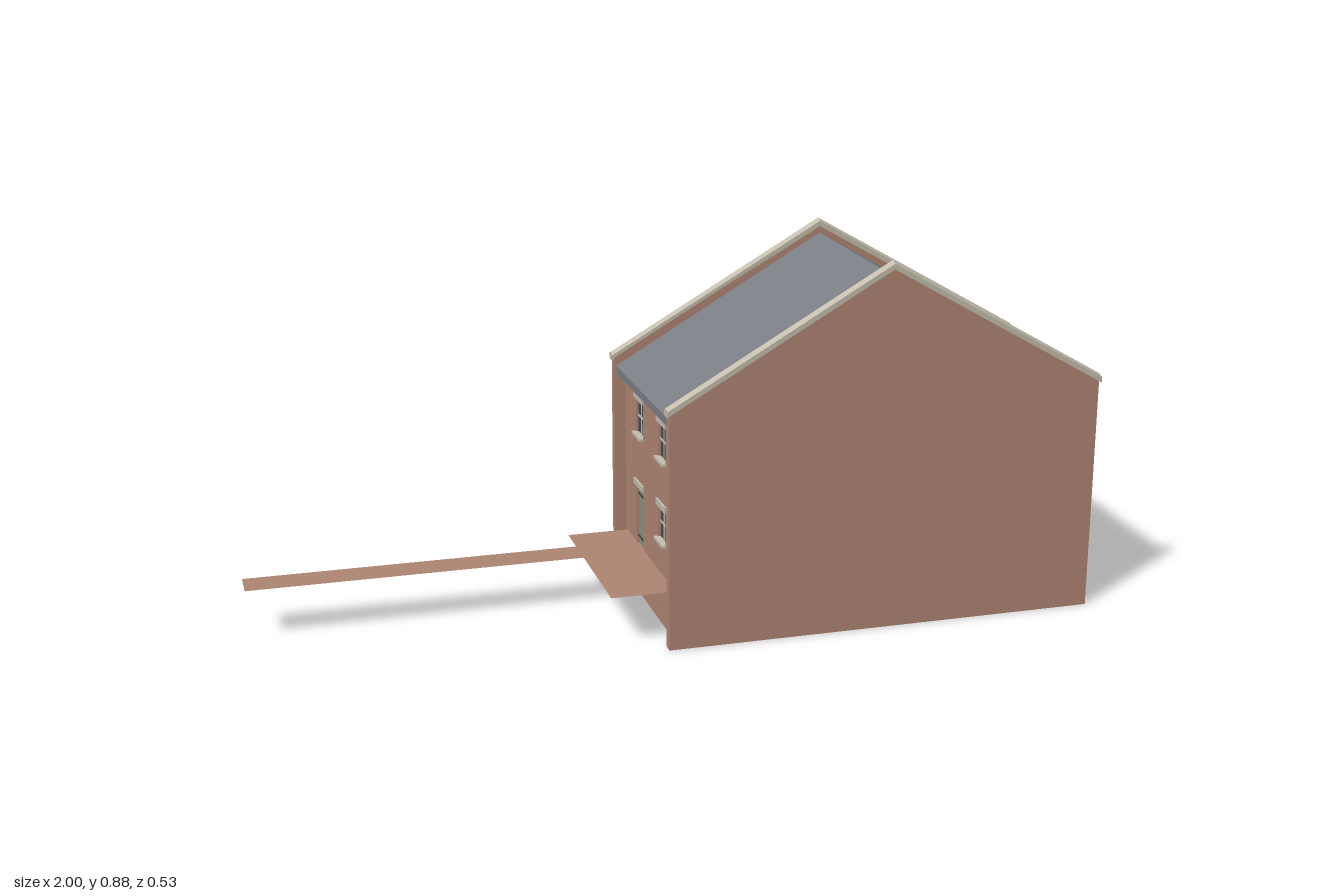
import * as THREE from 'three';

const material = (name, color) => Object.assign(new THREE.MeshStandardMaterial({ color }), { name });

export function createModel() {
  const brick = material('brick', 0xae8572);
  const paving = material('paving', 0xae8572);
  paving.side = THREE.DoubleSide;
  const slate = material('slate', 0x7b7e85);
  const stone = material('stone', 0xc4bdad);
  const green = material('greenPaint', 0x889282);
  const glass = material('glass', 0x424b52);
  const iron = material('iron', 0x40484e);

  const model = new THREE.Group();
  model.name = 'warehouse';
  const CX = 0.4475; // middle of the house along x

  const add = (parent, name, geometry, mat, x = 0, y = 0, z = 0) => {
    const mesh = new THREE.Mesh(geometry, mat);
    mesh.name = name;
    mesh.position.set(x, y, z);
    parent.add(mesh);
    return mesh;
  };
  const box = (parent, name, mat, w, h, d, x, y, z) =>
    add(parent, name, new THREE.BoxGeometry(w, h, d), mat, x, y, z);
  const polygon = (pts) => new THREE.Shape(pts.map(([x, y]) => new THREE.Vector2(x, y)));
  const extrude = (shape, depth) =>
    new THREE.ExtrudeGeometry(shape, { depth, bevelEnabled: false, curveSegments: 12 });

  // Opening outline: centre u, width w, from y0 to y1, with an optional arch
  const opening = (u, w, y0, y1, rise = 0) => {
    const s = new THREE.Shape();
    s.moveTo(u - w / 2, y0);
    s.lineTo(u + w / 2, y0);
    s.lineTo(u + w / 2, y1);
    if (rise) s.quadraticCurveTo(u, y1 + 2 * rise, u - w / 2, y1);
    else s.lineTo(u - w / 2, y1);
    s.closePath();
    return s;
  };

  // Facade, local +z is outward; openings are cut and filled with recessed panels
  const makeFacade = (name, items) => {
    const g = new THREE.Group();
    g.name = name;
    const wall = polygon([[-0.235, 0], [0.235, 0], [0.235, 0.54], [-0.235, 0.54]]);
    for (const it of items) {
      const { type, u, w, y0, y1, rise, hinges = [], leaves = 1 } = it;
      const outline = opening(u, w, y0, y1, rise);
      wall.holes.push(outline);
      const isWindow = type === 'window';
      add(g, type + 'Panel', extrude(outline, 0.01), isWindow ? glass : green, 0, 0, -0.016);
      const h = y1 - y0, yc = (y0 + y1) / 2;
      if (isWindow) {
        // glazing bars, then lintel and sill
        box(g, 'glazingBar', stone, 0.005, h, 0.014, u, yc, -0.011);
        box(g, 'glazingBar', stone, w, 0.005, 0.014, u, yc, -0.011);
        box(g, 'windowLintel', stone, w + 0.016, 0.015, 0.016, u, y1 + 0.008, -0.003);
        box(g, 'windowSill', stone, w + 0.012, 0.007, 0.02, u, y0 - 0.003, 0);
      } else {
        if (type === 'door') box(g, 'doorLintel', stone, w + 0.015, 0.014, 0.016, u, y1 + 0.006, -0.003);
        if (type === 'hatch') box(g, 'hatchSill', stone, w + 0.01, 0.006, 0.02, u, y0 - 0.003, 0);
        if (leaves === 2) box(g, 'leafSeam', iron, 0.003, h, 0.003, u, yc, -0.006);
        // strap hinges on the outer edge of each leaf
        const leaf = w / leaves, len = leaf * (leaves === 2 ? 0.62 : 0.76);
        for (const y of hinges)
          for (const s of leaves === 2 ? [-1, 1] : [-1])
            box(g, 'strapHinge', iron, len, 0.004, 0.004, u + s * (w / 2 - len / 2 - 0.002), y, -0.005);
      }
    }
    add(g, name + 'Wall', extrude(wall, 0.02), brick, 0, 0, -0.02);
    model.add(g);
    return g;
  };

  const windowAt = (u, y0, y1) => ({ type: 'window', u, w: 0.062, y0, y1 });
  const doorAt = (u) => ({ type: 'door', u, w: 0.063, y0: 0.121, y1: 0.275, hinges: [0.142, 0.252] });

  // Street side
  const street = makeFacade('streetFacade', [
    windowAt(-0.175, 0.407, 0.492),
    windowAt(-0.0375, 0.407, 0.492),
    windowAt(-0.0375, 0.208, 0.287),
    doorAt(-0.176),
    { type: 'gate', u: 0.1165, w: 0.201, y0: 0.121, y1: 0.32, rise: 0.025, leaves: 2, hinges: [0.15, 0.222, 0.297] },
    { type: 'hatch', u: 0.1165, w: 0.081, y0: 0.38, y1: 0.475, leaves: 2, hinges: [0.4, 0.456] },
  ]);
  street.rotation.y = Math.PI / 2;
  street.position.x = 0.943;

  // Hoist beam with its hook
  box(street, 'hoistBeam', green, 0.013, 0.014, 0.067, 0.1165, 0.499, 0.0235);
  box(street, 'hoistHook', iron, 0.004, 0.018, 0.006, 0.1165, 0.483, 0.045);

  // Rear side
  const rear = makeFacade('rearFacade', [
    windowAt(-0.1, 0.407, 0.492),
    windowAt(0.1, 0.407, 0.492),
    windowAt(0.1, 0.208, 0.287),
    doorAt(-0.1),
  ]);
  rear.rotation.y = -Math.PI / 2;
  rear.position.x = -0.048;

  // Saddle-backed coping running over both slopes of a gable
  const ring = [[-0.014, -0.004], [0.014, -0.004], [0.014, 0.009], [0, 0.015], [-0.014, 0.009]];
  const stations = [[-0.528, 0.562], [0, 0.865], [0.528, 0.562]];
  const copingGeometry = () => {
    const pos = [], idx = [], n = ring.length;
    for (const [x, y] of stations) for (const [z, dy] of ring) pos.push(x, y + dy, z);
    for (let s = 0; s < 2; s++)
      for (let i = 0; i < n; i++) {
        const a = s * n + i, b = s * n + (i + 1) % n;
        idx.push(a, b + n, b, a, a + n, b + n);
      }
    for (let i = 1; i < n - 1; i++) {
      idx.push(0, i, i + 1);
      idx.push(2 * n, 2 * n + i + 1, 2 * n + i);
    }
    const indexed = new THREE.BufferGeometry();
    indexed.setAttribute('position', new THREE.Float32BufferAttribute(pos, 3));
    indexed.setIndex(idx);
    const flat = indexed.toNonIndexed();
    flat.computeVertexNormals();
    return flat;
  };

  // Gable walls
  const gable = polygon([[-0.5225, 0], [0.5225, 0], [0.5225, 0.565], [0, 0.865], [-0.5225, 0.565]]);
  for (const s of [-1, 1]) {
    add(model, 'gableWall', extrude(gable, 0.025), brick, CX, 0, s > 0 ? 0.235 : -0.26);
    add(model, 'gableCoping', copingGeometry(), stone, CX, 0, s * 0.249);
  }

  // Roof slab with two slopes
  const roof = polygon([[-0.5175, 0.525], [0, 0.825], [0.5175, 0.525], [0.5175, 0.545], [0, 0.845], [-0.5175, 0.545]]);
  add(model, 'roof', extrude(roof, 0.47), slate, CX, 0, -0.235);

  // Raised terrace and the path leading to it
  const slab = (name, x0, x1, z0, z1) => {
    const m = add(model, name, new THREE.PlaneGeometry(x1 - x0, z1 - z0), paving, (x0 + x1) / 2, 0.125, (z0 + z1) / 2);
    m.rotation.x = -Math.PI / 2;
  };
  slab('terrace', -0.2, -0.048, -0.218, 0.215);
  slab('path', -1, -0.2, -0.135, -0.055);

  return model;
}
